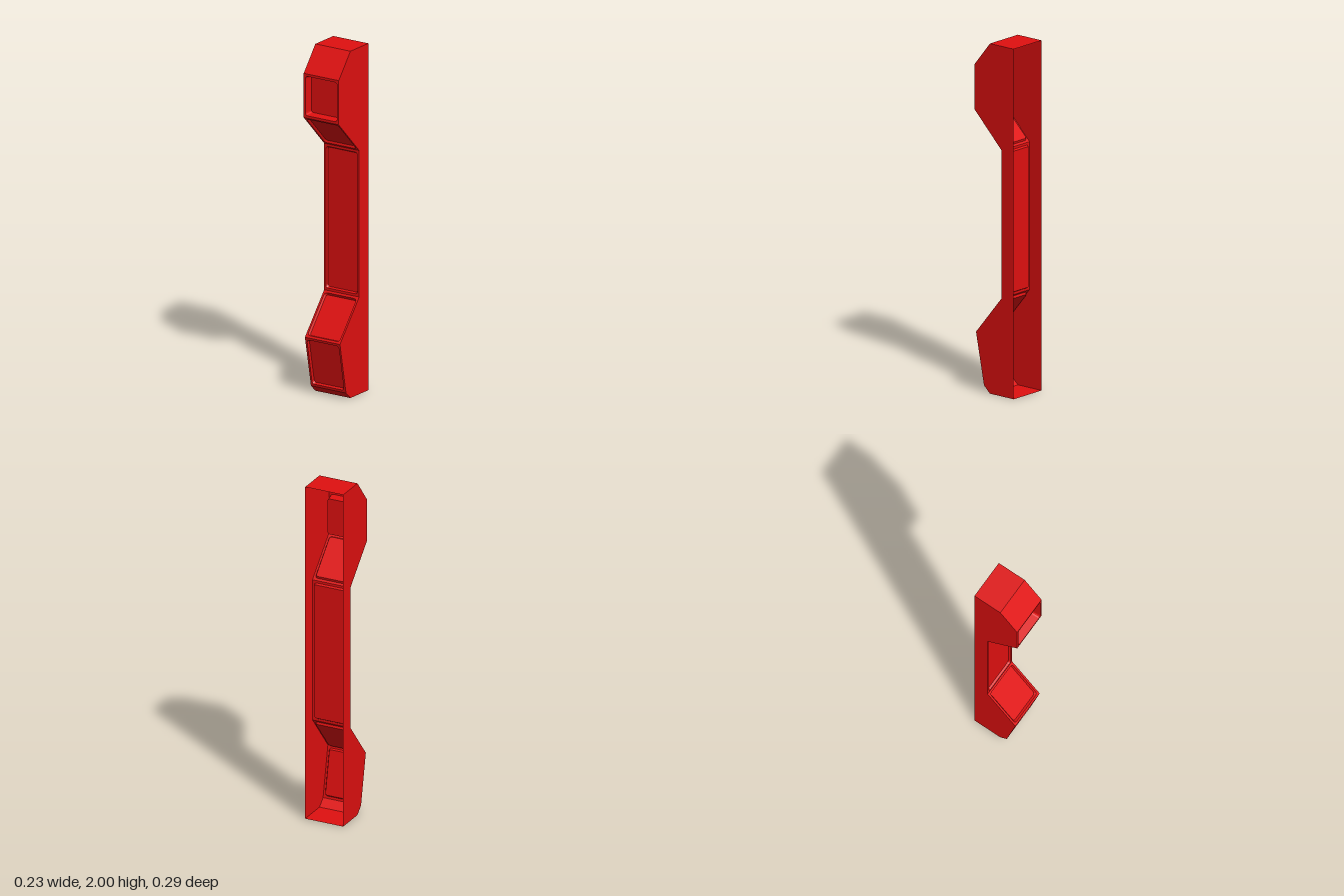
import * as THREE from 'three';

const HALF = 0.117;      // half width of the housing
const MARGIN = 0.014;    // frame left around each recessed panel
const material = new THREE.MeshStandardMaterial({
  color: 0xe01010, flatShading: true, side: THREE.DoubleSide,
});

// Side profile [z, y], from the bottom back edge round the front to the top back edge
const profile = [
  [-0.143, 0], [0.03, 0], [0.073, 0.04], [0.131, 0.335], [-0.055, 0.56],
  [-0.055, 1.405], [0.143, 1.605], [0.143, 1.86], [0.03, 2], [-0.143, 2],
];

// Name and recess depth of each strip along the profile (0 = plain)
const strips = [
  ['bottomCap', 0], ['lowerChamfer', 0], ['lowerFront', 0.012], ['lowerSlope', 0.012],
  ['middleFront', 0.012], ['upperSlope', 0.012], ['upperFront', 0.05],
  ['upperChamfer', 0], ['topCap', 0],
];

// Closed loop of a rectangle with rounded corners, centred on the origin
function roundedLoop(hw, hh, r) {
  const pts = [];
  const corners = [[1, 1], [-1, 1], [-1, -1], [1, -1]];
  corners.forEach(([sx, sy], c) => {
    for (let i = 0; i <= 3; i++) {
      const a = (c + i / 3) * Math.PI / 2;
      pts.push(new THREE.Vector2(sx * (hw - r) + r * Math.cos(a), sy * (hh - r) + r * Math.sin(a)));
    }
  });
  return pts;
}

// Wall joining two loops of equal length at different depths
function wallGeometry(outer, inner, depth) {
  const pos = [], index = [], n = outer.length;
  outer.forEach((p) => pos.push(p.x, p.y, 0));
  inner.forEach((p) => pos.push(p.x, p.y, -depth));
  for (let i = 0; i < n; i++) {
    const j = (i + 1) % n;
    index.push(i, j, n + j, i, n + j, n + i);
  }
  const g = new THREE.BufferGeometry();
  g.setAttribute('position', new THREE.Float32BufferAttribute(pos, 3));
  g.setIndex(index);
  g.computeVertexNormals();
  return g;
}

function addMesh(parent, geometry, name) {
  const mesh = new THREE.Mesh(geometry, material);
  mesh.name = name;
  parent.add(mesh);
  return mesh;
}

// One strip: a flat plate, or a frame with a recessed panel
function makeStrip(length, name, depth) {
  const strip = new THREE.Group();
  strip.name = name;
  if (!depth) {
    addMesh(strip, new THREE.PlaneGeometry(2 * HALF, length), name + 'Plate');
    return strip;
  }
  const hh = length / 2;
  const outer = roundedLoop(HALF - MARGIN + 0.003, hh - MARGIN, 0.016);
  const inner = roundedLoop(HALF - MARGIN - 0.004, hh - MARGIN - 0.007, 0.012);
  const frame = new THREE.Shape([
    new THREE.Vector2(-HALF, -hh), new THREE.Vector2(HALF, -hh),
    new THREE.Vector2(HALF, hh), new THREE.Vector2(-HALF, hh),
  ]);
  frame.holes.push(new THREE.Path(outer));
  addMesh(strip, new THREE.ShapeGeometry(frame), name + 'Frame');
  addMesh(strip, wallGeometry(outer, inner, depth), name + 'RecessWall');
  addMesh(strip, new THREE.ShapeGeometry(new THREE.Shape(inner)), name + 'Panel').position.z = -depth;
  return strip;
}

export function createModel() {
  const model = new THREE.Group();
  model.name = 'housing';

  // Front strips and end caps follow the profile; the back stays open
  strips.forEach(([name, depth], i) => {
    const [z0, y0] = profile[i], [z1, y1] = profile[i + 1];
    const strip = makeStrip(Math.hypot(z1 - z0, y1 - y0), name, depth);
    strip.position.set(0, (y0 + y1) / 2, (z0 + z1) / 2);
    strip.rotation.x = Math.atan2(z1 - z0, y1 - y0);
    model.add(strip);
  });

  // Side walls: the profile drawn flat and turned to face left and right
  for (const [name, s] of [['leftSide', 1], ['rightSide', -1]]) {
    const shape = new THREE.Shape(profile.map(([z, y]) => new THREE.Vector2(-s * z, y)));
    const side = addMesh(model, new THREE.ShapeGeometry(shape), name);
    side.rotation.y = s * Math.PI / 2;
    side.position.x = s * HALF;
  }
  return model;
}
